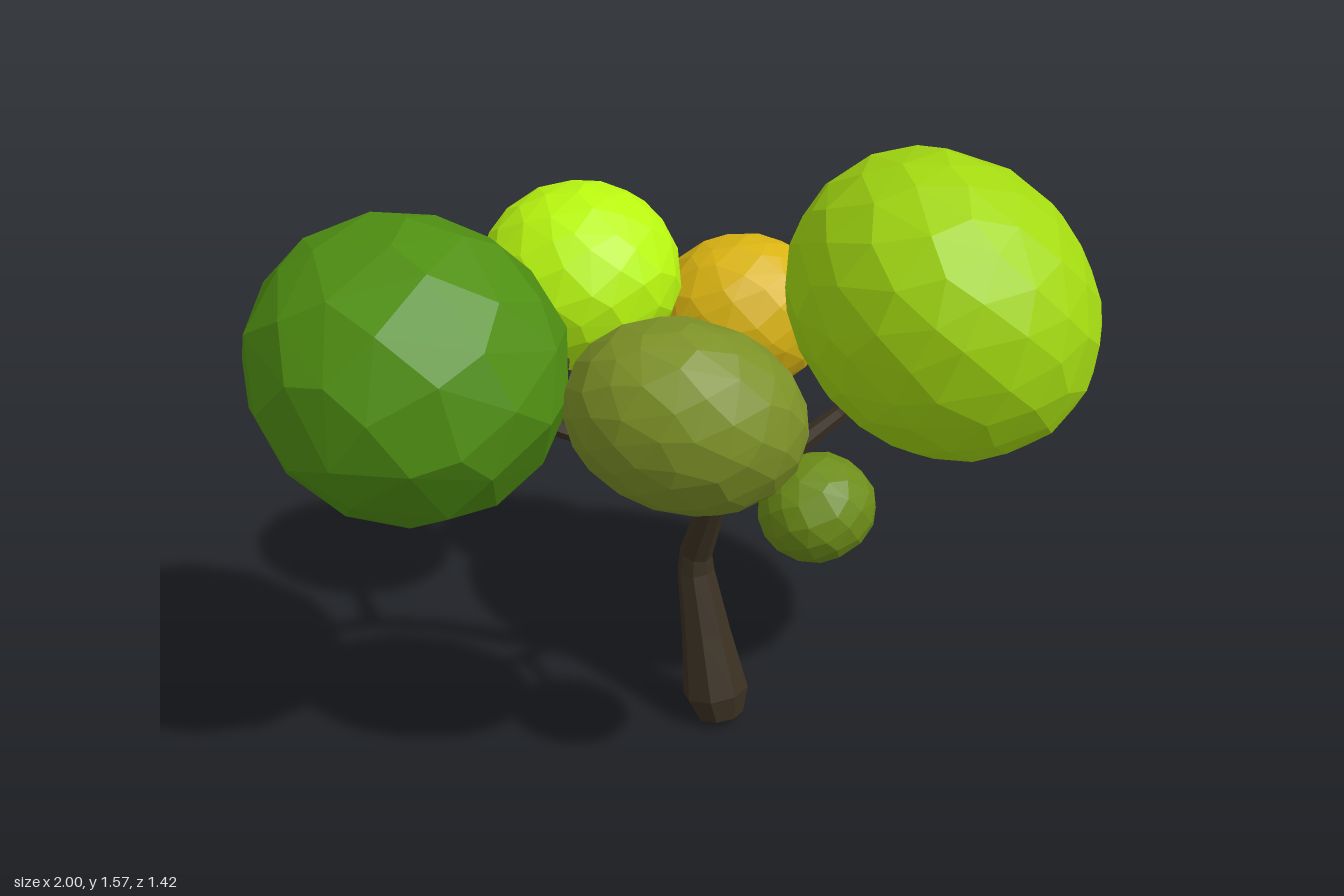
import * as THREE from 'three';
import { ConvexGeometry } from 'three/addons/geometries/ConvexGeometry.js';

function seeded(seed) {
  let s = seed * 7919 + 17;
  return () => (s = (s * 16807) % 2147483647) / 2147483647;
}

// Faceted crown: the hull of unevenly spaced points on a sphere, stretched and leaned
function foliage({ name, color, center, radii, lean = [0, 0, 0], points, seed }) {
  const rnd = seeded(seed);
  const [rx, ry, rz] = radii;
  const [xy, xz, yz] = lean;
  const stretch = new THREE.Matrix4().set(
    rx, xy, xz, 0,
    xy, ry, yz, 0,
    xz, yz, rz, 0,
    0, 0, 0, 1);
  const jitter = 1.5 / Math.sqrt(points);
  const pts = [];
  for (let i = 0; i < points; i++) {
    const y = 1 - 2 * (i + 0.5) / points;
    const r = Math.sqrt(1 - y * y), a = i * 2.39996;
    const p = new THREE.Vector3(r * Math.cos(a), y, r * Math.sin(a));
    p.add(new THREE.Vector3(rnd() - 0.5, rnd() - 0.5, rnd() - 0.5).multiplyScalar(jitter));
    pts.push(p.normalize().multiplyScalar(1 + 0.5 / points).applyMatrix4(stretch));
  }
  const material = new THREE.MeshStandardMaterial({ color, flatShading: true });
  const mesh = new THREE.Mesh(new ConvexGeometry(pts), material);
  mesh.position.set(...center);
  mesh.name = name;
  return mesh;
}

// Tapered limb: rings of the given radius around path points [x, y, z, radius]
function limb(name, path, sides, material) {
  const pts = path.map(p => new THREE.Vector3(p[0], p[1], p[2]));
  const u = new THREE.Vector3(1, 0, 0), v = new THREE.Vector3(), t = new THREE.Vector3();
  const position = [], index = [];
  const last = pts.length - 1;
  pts.forEach((p, i) => {
    t.subVectors(pts[Math.min(i + 1, last)], pts[Math.max(i - 1, 0)]).normalize();
    u.addScaledVector(t, -u.dot(t)).normalize();
    v.crossVectors(t, u);
    for (let j = 0; j < sides; j++) {
      const a = j / sides * Math.PI * 2;
      const q = p.clone()
        .addScaledVector(u, Math.cos(a) * path[i][3])
        .addScaledVector(v, Math.sin(a) * path[i][3]);
      position.push(q.x, q.y, q.z);
      if (i === last) continue;
      const A = i * sides + j, B = i * sides + (j + 1) % sides;
      index.push(A, B, A + sides, B, B + sides, A + sides);
    }
  });
  const geometry = new THREE.BufferGeometry();
  geometry.setAttribute('position', new THREE.Float32BufferAttribute(position, 3));
  geometry.setIndex(index);
  const flat = geometry.toNonIndexed();
  flat.computeVertexNormals();
  const mesh = new THREE.Mesh(flat, material);
  mesh.name = name;
  return mesh;
}

export function createModel() {
  const tree = new THREE.Group();
  tree.name = 'tree';
  const bark = new THREE.MeshStandardMaterial({ color: 0x3a3022, flatShading: true });

  // Bent trunk, flared at the foot
  tree.add(limb('trunk', [
    [0.085, 0, 0.065, 0], [0.085, 0.015, 0.065, 0.065], [0.085, 0.08, 0.045, 0.09],
    [0.085, 0.25, 0, 0.067], [0.085, 0.42, -0.046, 0.05], [0.085, 0.48, -0.045, 0.044],
    [0.085, 0.66, 0.025, 0.036], [0.085, 0.71, 0.042, 0.043],
    [0.085, 0.75, 0.045, 0.04], [0.085, 0.77, 0.045, 0],
  ], 8, bark));

  // Main branches leaving the fork, then the twigs they carry
  const branches = {
    rightBranch: [[0.09, 0.73, 0.045, 0.035], [0.02, 0.76, -0.01, 0.034], [-0.1, 0.815, -0.14, 0.027],
      [-0.23, 0.88, -0.22, 0.027], [-0.4, 0.98, -0.22, 0.018]],
    backTwig: [[-0.23, 0.87, -0.22, 0.026], [-0.2, 0.92, -0.26, 0.022], [-0.14, 1.02, -0.31, 0.018],
      [-0.06, 1.12, -0.4, 0.014]],
    backBranch: [[0.09, 0.73, 0.04, 0.035], [0.13, 0.765, -0.04, 0.03], [0.22, 0.82, -0.2, 0.023],
      [0.3, 0.92, -0.25, 0.02], [0.4, 0.98, -0.3, 0.015]],
    leftBranch: [[0.08, 0.73, 0.045, 0.036], [0.15, 0.77, 0.1, 0.033], [0.24, 0.83, 0.16, 0.029],
      [0.35, 0.91, 0.2, 0.022], [0.5, 1.05, 0.25, 0.015]],
    frontTwig: [[0.25, 0.82, 0.16, 0.022], [0.16, 0.89, 0.2, 0.018], [0.05, 0.95, 0.26, 0.02],
      [-0.02, 1, 0.28, 0.015], [-0.1, 1.06, 0.3, 0.012]],
    lowTwig: [[0.05, 0.95, 0.25, 0.019], [0.055, 0.94, 0.32, 0.015], [0.03, 0.91, 0.42, 0.012],
      [0.01, 0.9, 0.5, 0.01]],
  };
  for (const [name, path] of Object.entries(branches)) tree.add(limb(name, path, 7, bark));

  // Leaf crowns
  const crowns = [
    { name: 'darkCrown', color: 0x4f8f12, center: [-0.625, 1.15, -0.225], radii: [0.375, 0.36, 0.405],
      points: 75, seed: 1 },
    { name: 'largeCrown', color: 0xa3d911, center: [0.595, 1.17, 0.285], radii: [0.403, 0.398, 0.423],
      lean: [-0.037, -0.022, 0], points: 150, seed: 2 },
    { name: 'oliveCrown', color: 0x7d9127, center: [-0.22, 1.12, 0.315], radii: [0.259, 0.234, 0.244],
      lean: [-0.02, 0.022, 0], points: 130, seed: 3 },
    { name: 'brightCrown', color: 0xb8f710, center: [0.005, 1.155, -0.445], radii: [0.265, 0.245, 0.265],
      points: 130, seed: 4 },
    { name: 'goldCrown', color: 0xd9b312, center: [0.45, 0.978, -0.322], radii: [0.239, 0.217, 0.222],
      lean: [0, 0.015, 0], points: 130, seed: 5 },
    { name: 'smallCrown', color: 0x6c8c18, center: [0.01, 0.897, 0.505], radii: [0.14, 0.126, 0.131],
      points: 90, seed: 6 },
  ];
  for (const crown of crowns) tree.add(foliage(crown));
  return tree;
}
